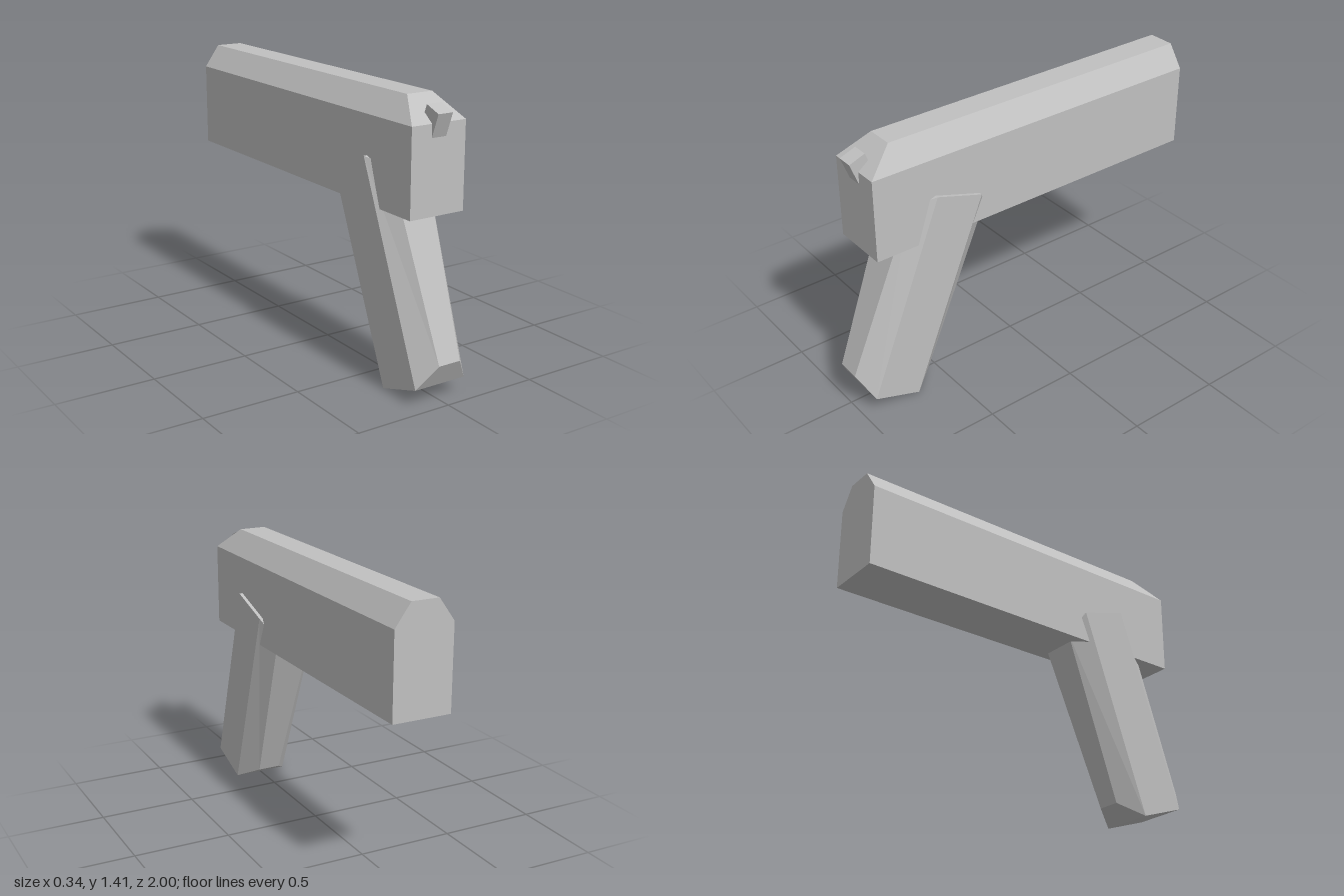
import * as THREE from 'three';

// Skins a row of rings, listed front to back, each counter-clockwise seen from +z.
function loft(rings) {
  const pos = [];
  const tri = (...pts) => pts.forEach((p) => pos.push(...p));
  const first = rings[0], last = rings[rings.length - 1], n = first.length;
  for (let i = 1; i < n - 1; i++) {
    tri(first[0], first[i], first[i + 1]);
    tri(last[0], last[i + 1], last[i]);
  }
  for (let r = 0; r < rings.length - 1; r++) {
    for (let i = 0; i < n; i++) {
      const j = (i + 1) % n, a = rings[r], b = rings[r + 1];
      tri(a[i], b[i], a[j]);
      tri(a[j], b[i], b[j]);
    }
  }
  const geometry = new THREE.BufferGeometry();
  geometry.setAttribute('position', new THREE.Float32BufferAttribute(pos, 3));
  geometry.computeVertexNormals();
  return geometry;
}

export function createModel() {
  const group = new THREE.Group();
  const grey = new THREE.MeshStandardMaterial({ color: 0xc0c0c0, flatShading: true });
  grey.name = 'grey';

  const add = (name, geometry) => {
    const mesh = new THREE.Mesh(geometry, grey);
    mesh.name = name;
    group.add(mesh);
    return mesh;
  };

  // Long upper body: six-sided section, its top sloping down at the +z end
  const bodyRing = (zLow, zTop) => [
    [-0.15, 1.3, zLow], [-0.15, 0.877, zLow], [0.15, 0.877, zLow],
    [0.15, 1.3, zLow], [0.07, 1.412, zTop], [-0.07, 1.412, zTop],
  ];
  add('upperBody', loft([bodyRing(0.88, 0.737), bodyRing(-1, -1)]));

  // Slanted handle with chamfered front and back, widening upwards
  // [bottom half width, y, z, top half width, y, z]
  const handleRings = [
    [0.06, 0.208, 1.0, 0.099, 1.07, 0.664],
    [0.142, 0.085, 0.935, 0.168, 1.108, 0.55],
    [0.142, 0.003, 0.69, 0.168, 1.03, 0.3],
    [0.06, 0.068, 0.567, 0.095, 0.92, 0.236],
  ].map(([wb, yb, zb, wt, yt, zt]) => [
    [-wb, yb, zb], [wb, yb, zb], [wt, yt, zt], [-wt, yt, zt],
  ]);
  add('handle', loft(handleRings));

  // Small tilted block on the sloping end
  const block = add('tiltedBlock', new THREE.BoxGeometry(0.08, 0.15, 0.088));
  block.position.set(0, 1.295, 0.855);
  block.rotation.x = 0.36;

  return group;
}
